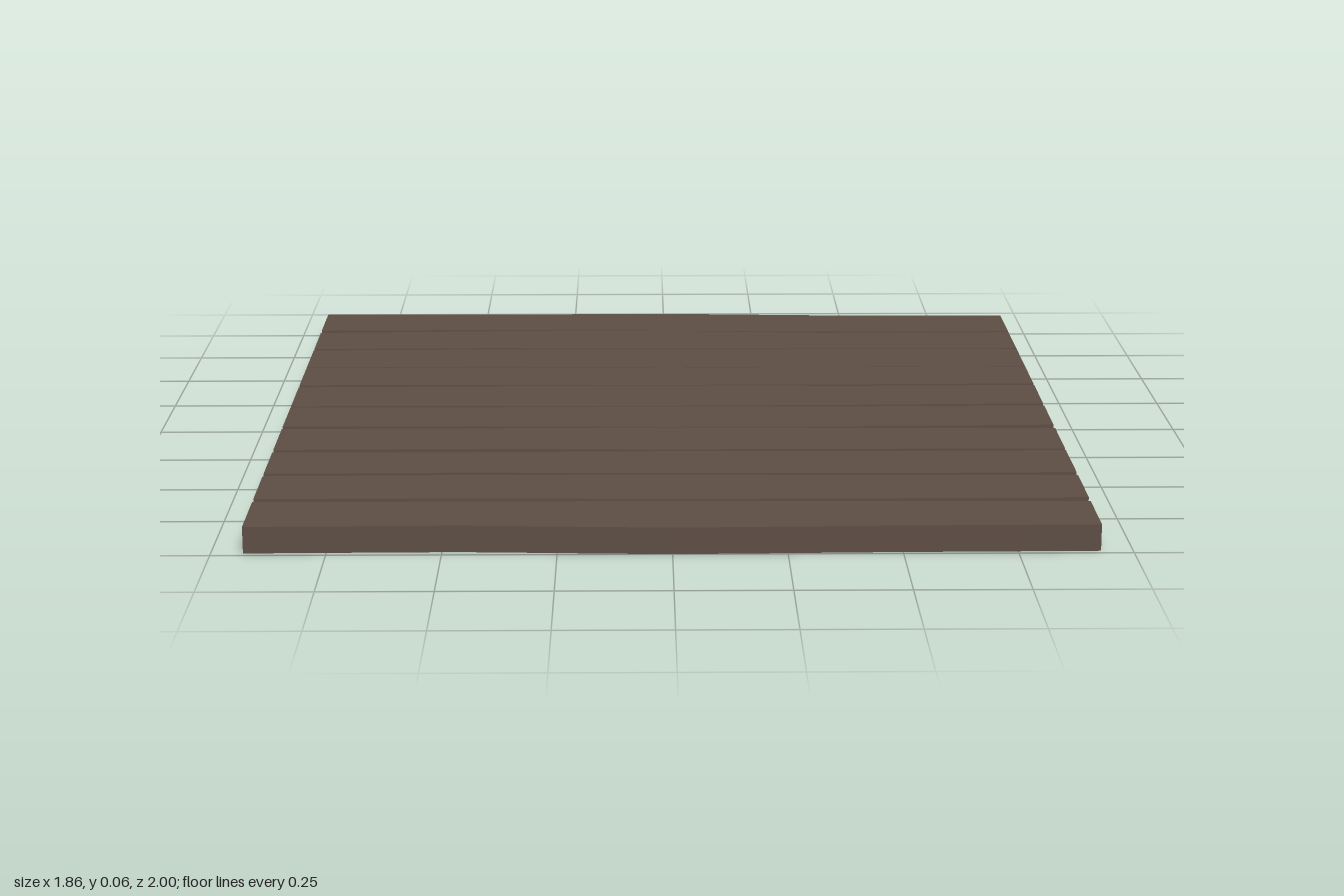
import * as THREE from 'three';

const HALF_LENGTH = 0.93;
const THICKNESS = 0.06;

// Each plank: z of its back edge and of its front edge at five stations along x
const PLANKS = [
  [[-1.0, -0.995, -1.0, -0.975, -0.97], [-0.81, -0.815, -0.80, -0.785, -0.79]],
  [[-0.785, -0.80, -0.80, -0.77, -0.775], [-0.605, -0.61, -0.60, -0.595, -0.595]],
  [[-0.59, -0.595, -0.59, -0.59, -0.585], [-0.405, -0.412, -0.40, -0.40, -0.403]],
  [[-0.40, -0.405, -0.398, -0.398, -0.40], [-0.225, -0.225, -0.22, -0.22, -0.225]],
  [[-0.205, -0.21, -0.215, -0.205, -0.21], [-0.02, -0.02, -0.015, -0.02, -0.03]],
  [[-0.01, -0.005, -0.01, -0.005, -0.01], [0.17, 0.17, 0.18, 0.18, 0.17]],
  [[0.19, 0.19, 0.185, 0.195, 0.20], [0.375, 0.37, 0.38, 0.38, 0.38]],
  [[0.395, 0.40, 0.395, 0.40, 0.395], [0.575, 0.57, 0.58, 0.585, 0.58]],
  [[0.595, 0.59, 0.59, 0.60, 0.605], [0.775, 0.775, 0.785, 0.785, 0.78]],
  [[0.80, 0.80, 0.80, 0.805, 0.81], [0.985, 0.98, 1.0, 0.99, 0.985]],
];

// A box cut into four lengths, its sides moved to the warped edges
function plankGeometry([back, front]) {
  const geometry = new THREE.BoxGeometry(HALF_LENGTH * 2, THICKNESS, 1, 4, 1, 1);
  const pos = geometry.attributes.position;
  for (let i = 0; i < pos.count; i++) {
    const station = Math.round((pos.getX(i) / HALF_LENGTH + 1) * 2);
    pos.setZ(i, (pos.getZ(i) < 0 ? back : front)[station]);
  }
  geometry.translate(0, THICKNESS / 2, 0);
  geometry.computeVertexNormals();
  return geometry;
}

export function createModel() {
  const group = new THREE.Group();
  group.name = 'plankFloor';
  const wood = new THREE.MeshStandardMaterial({ color: 0x5d4d44, flatShading: true });
  wood.name = 'darkWood';

  PLANKS.forEach((edges, i) => {
    const plank = new THREE.Mesh(plankGeometry(edges), wood);
    plank.name = `plank${i + 1}`;
    group.add(plank);
  });
  return group;
}
